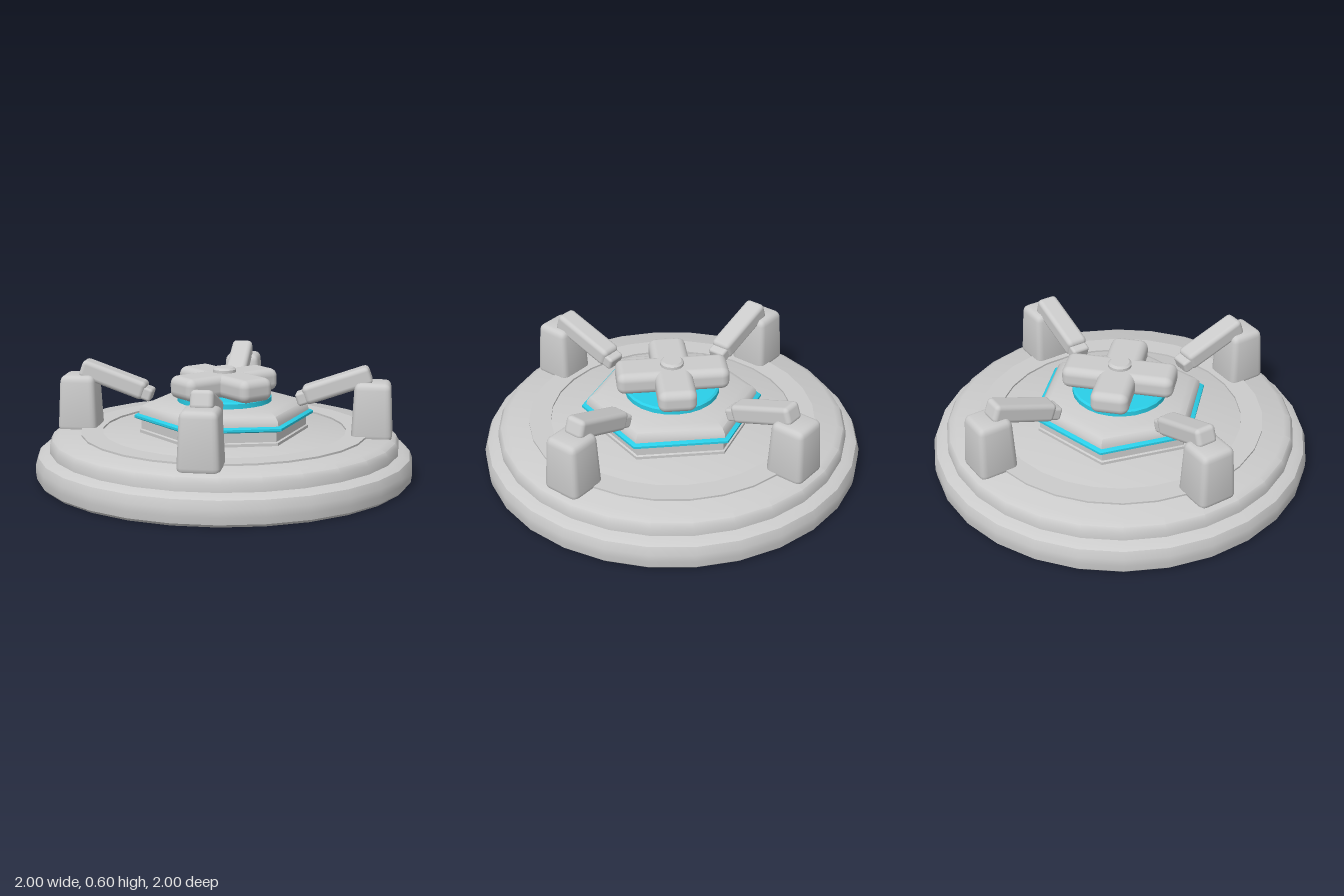
import * as THREE from 'three';
import { toCreasedNormals } from 'three/addons/utils/BufferGeometryUtils.js';
import { RoundedBoxGeometry } from 'three/addons/geometries/RoundedBoxGeometry.js';

const grey = new THREE.MeshStandardMaterial({ color: 0xcccccc });
const cyan = new THREE.MeshStandardMaterial({ color: 0x2acfe8 });

function add(parent, name, geometry, material = grey) {
  const mesh = new THREE.Mesh(geometry, material);
  mesh.name = name;
  parent.add(mesh);
  return mesh;
}

// Turned solid from [radius, height] pairs, listed bottom to top
function turned(profile, sides) {
  const points = profile.map(([r, y]) => new THREE.Vector2(r, y));
  return toCreasedNormals(new THREE.LatheGeometry(points, sides), 0.6);
}

// Rounded box that narrows evenly towards the top
function taperedBox(w, h, d, radius, topScale) {
  const g = new RoundedBoxGeometry(w, h, d, 2, radius);
  const p = g.attributes.position;
  for (let i = 0; i < p.count; i++) {
    const s = THREE.MathUtils.lerp(1, topScale, p.getY(i) / h + 0.5);
    p.setX(i, p.getX(i) * s);
    p.setZ(i, p.getZ(i) * s);
  }
  return toCreasedNormals(g, 0.6);
}

export function createModel() {
  const model = new THREE.Group();
  model.name = 'platform';

  // Stepped round base
  add(model, 'baseDisc', turned([[0, 0], [0.98, 0], [0.995, 0.015], [1, 0.05], [1, 0.09],
    [0.985, 0.13], [0.95, 0.15], [0, 0.15]], 28));
  add(model, 'upperDisc', turned([[0.925, 0.14], [0.925, 0.19], [0.91, 0.217],
    [0.875, 0.235], [0, 0.235]], 28));
  add(model, 'deckRing', turned([[0.76, 0.23], [0.76, 0.245], [0.645, 0.245], [0.645, 0.23]], 28));

  // Hexagonal core
  add(model, 'coreFoot', turned([[0.45, 0.23], [0.45, 0.25], [0.44, 0.255], [0.44, 0.315], [0, 0.315]], 6));
  add(model, 'glowBand', turned([[0, 0.31], [0.465, 0.31], [0.477, 0.317], [0.477, 0.329],
    [0.465, 0.336], [0, 0.336]], 6), cyan);
  add(model, 'coreTop', turned([[0.453, 0.33], [0.45, 0.358], [0.43, 0.382], [0.39, 0.4], [0, 0.4]], 6));
  add(model, 'glowDisc', turned([[0.25, 0.395], [0.25, 0.425], [0.24, 0.433], [0, 0.433]], 24), cyan);

  // Cross-shaped handle with a central stud
  for (const angle of [0, Math.PI / 2]) {
    const bar = add(model, 'crossBar', new RoundedBoxGeometry(0.59, 0.12, 0.2, 3, 0.042));
    bar.position.y = 0.49;
    bar.rotation.y = angle;
  }
  add(model, 'centreStud', turned([[0.062, 0.54], [0.062, 0.565], [0.05, 0.576], [0, 0.576]], 16));

  // Four diagonal clamps; inside each group +x points outward
  for (let i = 0; i < 4; i++) {
    const clamp = new THREE.Group();
    clamp.name = 'clamp';
    clamp.rotation.y = Math.PI / 4 + i * Math.PI / 2;
    model.add(clamp);

    add(clamp, 'pylon', taperedBox(0.215, 0.305, 0.215, 0.035, 0.86)).position.set(0.78, 0.3675, 0);

    const arm = new THREE.Group();
    arm.name = 'arm';
    arm.position.set(0.595, 0.497, 0);
    arm.rotation.z = 0.34;
    clamp.add(arm);
    add(arm, 'armBeam', new RoundedBoxGeometry(0.365, 0.1, 0.115, 2, 0.025));
    add(arm, 'armTip', new RoundedBoxGeometry(0.07, 0.07, 0.1, 2, 0.015)).position.set(-0.19, -0.008, 0);
  }
  return model;
}
